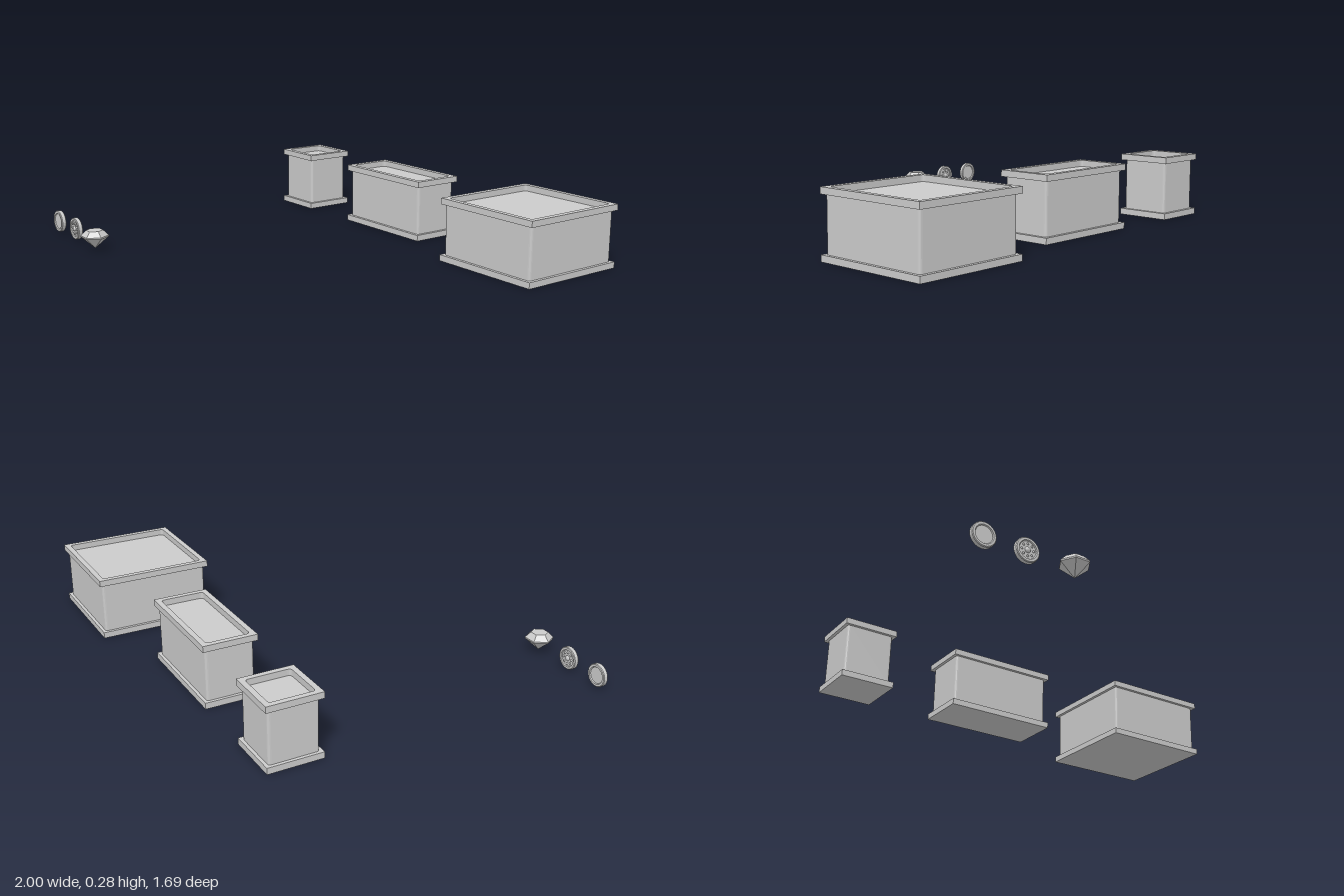
import * as THREE from 'three';

const smooth = new THREE.MeshStandardMaterial({ color: 0xcccccc });
const faceted = new THREE.MeshStandardMaterial({ color: 0xcccccc, flatShading: true });

function mesh(name, geometry, material = faceted) {
  const m = new THREE.Mesh(geometry, material);
  m.name = name;
  return m;
}

// Rectangle outline with rounded corners, centred on the origin
function roundedRect(path, w, d, r) {
  const x = w / 2, y = d / 2;
  path.moveTo(-x + r, -y);
  path.lineTo(x - r, -y);
  path.quadraticCurveTo(x, -y, x, -y + r);
  path.lineTo(x, y - r);
  path.quadraticCurveTo(x, y, x - r, y);
  path.lineTo(-x + r, y);
  path.quadraticCurveTo(-x, y, -x, y - r);
  path.lineTo(-x, -y + r);
  path.quadraticCurveTo(-x, -y, -x + r, -y);
  return path;
}

// Extrude a plan shape upward from y0 to y1
function slab(shape, y0, y1) {
  return new THREE.ExtrudeGeometry(shape, { depth: y1 - y0, bevelEnabled: false, curveSegments: 4 })
    .rotateX(-Math.PI / 2)
    .translate(0, y0, 0);
}

// Pedestal box: plinth, rounded body and a rim framing the sunken top
function createBox(name, w, d, x, z) {
  const height = 0.277, band = 0.027, inset = 0.014, rim = 0.024;
  const box = new THREE.Group();
  box.name = name;
  box.position.set(x, 0, z);

  const plinth = mesh('plinth', new THREE.BoxGeometry(w, band, d));
  plinth.position.y = band / 2;

  const bodyShape = roundedRect(new THREE.Shape(), w - 2 * inset, d - 2 * inset, 0.012);
  const body = mesh('body', slab(bodyShape, band, height - band), smooth);

  const rimShape = new THREE.Shape();
  rimShape.moveTo(-w / 2, -d / 2);
  rimShape.lineTo(w / 2, -d / 2);
  rimShape.lineTo(w / 2, d / 2);
  rimShape.lineTo(-w / 2, d / 2);
  rimShape.closePath();
  rimShape.holes.push(roundedRect(new THREE.Path(), w - 2 * rim, d - 2 * rim, 0.015));
  const topRim = mesh('topRim', slab(rimShape, height - band, height), smooth);

  box.add(plinth, body, topRim);
  return box;
}

// Upright coin with a raised edge and sunken faces
function createCoin(name, x) {
  const coin = new THREE.Group();
  coin.name = name;
  coin.position.set(x, 0.056, 0.785);
  const profile = [
    [0, -0.007], [0.035, -0.007], [0.038, -0.011], [0.047, -0.011], [0.05, -0.008],
    [0.05, 0.008], [0.047, 0.011], [0.038, 0.011], [0.035, 0.007], [0, 0.007],
  ].map(([r, y]) => new THREE.Vector2(r, y));
  coin.add(mesh('coinDisc', new THREE.LatheGeometry(profile, 24).rotateX(Math.PI / 2)));
  return coin;
}

// Studs around a central boss on both faces of a coin
function addStuds(coin) {
  for (const side of [1, -1]) {
    const boss = mesh('boss', new THREE.SphereGeometry(0.012, 12, 8), smooth);
    boss.position.z = side * 0.007;
    boss.scale.z = 0.65;
    coin.add(boss);
    for (let i = 0; i < 8; i++) {
      const a = (i * Math.PI) / 4;
      const stud = mesh('stud', new THREE.SphereGeometry(0.005, 8, 6), smooth);
      stud.position.set(Math.cos(a) * 0.025, Math.sin(a) * 0.025, side * 0.007);
      coin.add(stud);
    }
  }
}

// Six-sided gem with a flat table, thin girdle and pointed base
function createGem() {
  const profile = [[0, 0.008], [0.062, 0.061], [0.062, 0.067], [0.038, 0.091], [0, 0.091]]
    .map(([r, y]) => new THREE.Vector2(r, y));
  const gem = mesh('gem', new THREE.LatheGeometry(profile, 6, Math.PI / 2));
  gem.position.set(-0.565, 0, 0.79);
  return gem;
}

export function createModel() {
  const model = new THREE.Group();
  model.name = 'pedestalsAndTreasure';

  model.add(
    createBox('smallBox', 0.244, 0.238, -0.771, -0.586),
    createBox('longBox', 0.52, 0.238, -0.085, -0.586),
    createBox('largeBox', 0.52, 0.515, 0.738, -0.584),
  );

  const studdedCoin = createCoin('studdedCoin', -0.77);
  addStuds(studdedCoin);
  model.add(createCoin('plainCoin', -0.95), studdedCoin, createGem());

  return model;
}
